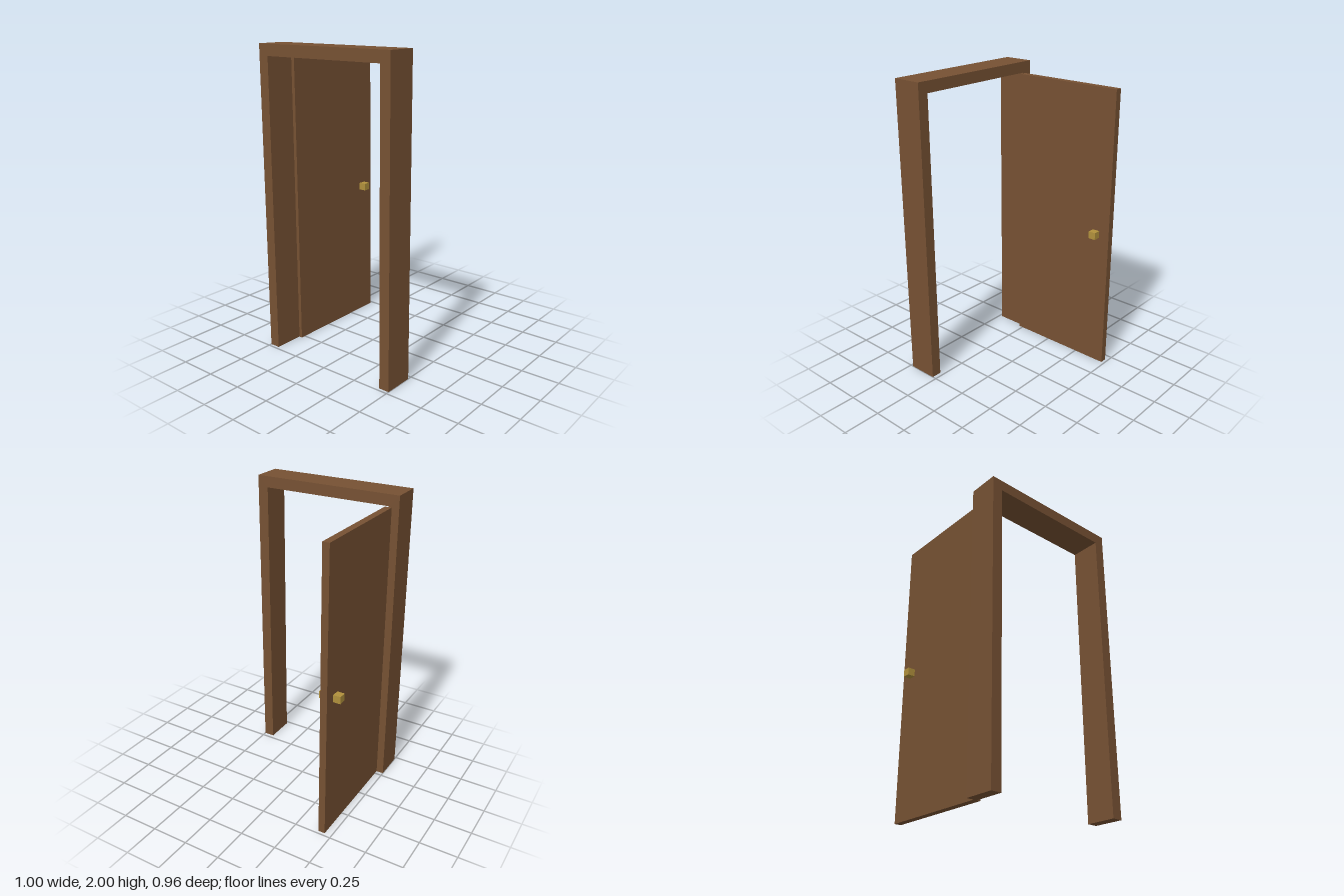
import * as THREE from 'three';

export function createModel() {
  const model = new THREE.Group();
  model.name = 'openDoor';

  const wood = new THREE.MeshStandardMaterial({ color: 0x765133 });
  wood.name = 'brown wood';
  const brass = new THREE.MeshStandardMaterial({ color: 0xb0903c });
  brass.name = 'brass';

  // Door frame: one continuous arch outline, extruded to the wall depth
  const outer = 0.5, inner = 0.43, top = 2, lintel = 1.927;
  const outline = new THREE.Shape([
    [-outer, 0], [-inner, 0], [-inner, lintel], [inner, lintel],
    [inner, 0], [outer, 0], [outer, top], [-outer, top],
  ].map(([x, y]) => new THREE.Vector2(x, y)));
  const frameGeometry = new THREE.ExtrudeGeometry(outline, { depth: 0.2, bevelEnabled: false });
  const frame = new THREE.Mesh(frameGeometry, wood);
  frame.name = 'doorFrame';
  frame.position.z = 0.279;
  model.add(frame);

  // Door leaf, swung open to the back, with a knob on each face
  const door = new THREE.Group();
  door.name = 'door';
  door.position.set(-0.429, 0, -0.1);
  model.add(door);

  const thickness = 0.045, height = 1.922;
  const leaf = new THREE.Mesh(new THREE.BoxGeometry(thickness, height, 0.758), wood);
  leaf.name = 'doorLeaf';
  leaf.position.y = height / 2;
  door.add(leaf);

  const knobGeometry = new THREE.BoxGeometry(0.0485, 0.048, 0.05);
  for (const side of [-1, 1]) {
    const knob = new THREE.Mesh(knobGeometry, brass);
    knob.name = side < 0 ? 'rightKnob' : 'leftKnob';
    knob.position.set(side * (thickness + 0.0485) / 2, 0.955, -0.28);
    door.add(knob);
  }

  return model;
}
